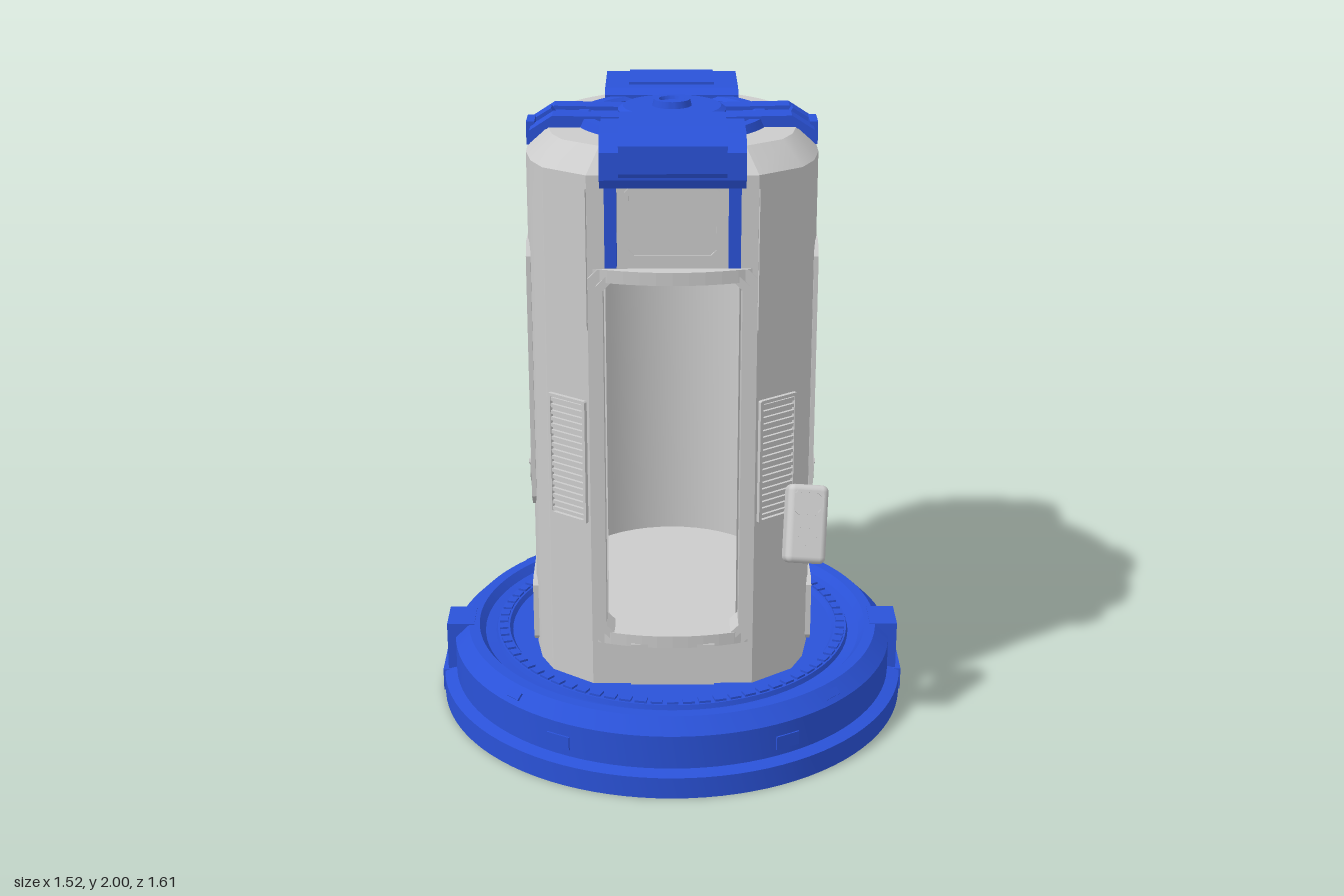
import * as THREE from 'three';
import { toCreasedNormals } from 'three/addons/utils/BufferGeometryUtils.js';
import { RoundedBoxGeometry } from 'three/addons/geometries/RoundedBoxGeometry.js';

const grey = new THREE.MeshStandardMaterial({ color: 0xcccccc, side: THREE.DoubleSide });
const blue = new THREE.MeshStandardMaterial({ color: 0x2a52d8, side: THREE.DoubleSide });
const CZ = 0.05; // centre of the base and roof hub

export function createModel() {
  const root = new THREE.Group();

  const add = (name, geo, mat, x = 0, y = 0, z = 0, yaw = 0, parent = root) => {
    const m = new THREE.Mesh(geo, mat);
    m.name = name;
    m.position.set(x, y, z);
    m.rotation.y = yaw;
    parent.add(m);
    return m;
  };
  const box = (name, mat, w, h, d, x, y, z, yaw = 0, parent = root) =>
    add(name, new THREE.BoxGeometry(w, h, d), mat, x, y, z, yaw, parent);
  const cyl = (name, mat, r, h, x, y, z, r2 = r) =>
    add(name, toCreasedNormals(new THREE.CylinderGeometry(r2, r, h, 40), 0.6), mat, x, y, z);
  const lathe = (pts, seg = 72, start = 0, len = Math.PI * 2) =>
    toCreasedNormals(new THREE.LatheGeometry(pts.map(p => new THREE.Vector2(...p)), seg, start, len), 0.35);
  const shapeOf = pts => new THREE.Shape(pts.map(p => new THREE.Vector2(...p)));
  const extrude = (shape, depth) => new THREE.ExtrudeGeometry(shape, { depth, bevelEnabled: false, curveSegments: 10 });
  // (z, y) profile extruded across x
  const across = (name, mat, pts, width, x = 0) =>
    add(name, extrude(shapeOf(pts), width).translate(0, 0, -width / 2).rotateY(-Math.PI / 2), mat, x);
  // rectangle with cut corners
  const cutRect = (w, h, c) => {
    const a = w / 2, b = h / 2;
    return [[-a + c, -b], [a - c, -b], [a, -b + c], [a, b - c], [a - c, b], [-a + c, b], [-a, b - c], [-a, -b + c]];
  };
  const frameShape = (w, h, c, t) => {
    const s = shapeOf(cutRect(w, h, c));
    s.holes.push(new THREE.Path(cutRect(w - 2 * t, h - 2 * t, c * 0.8).map(p => new THREE.Vector2(...p))));
    return s;
  };
  const both = fn => [1, -1].forEach(fn);

  // Base: stepped hollow disc
  add('base', lathe([[0.76, 0], [0.76, 0.07], [0.72, 0.08], [0.72, 0.19], [0.675, 0.235], [0.64, 0.235],
    [0.62, 0.21], [0.585, 0.205], [0.58, 0.22], [0.54, 0.22], [0.53, 0.205], [0, 0.205]], 96), blue, 0, 0, CZ);
  for (let i = 0; i < 72; i++) {
    const a = i / 72 * Math.PI * 2;
    box('baseTick', blue, 0.036, 0.012, 0.028, 0.56 * Math.sin(a), 0.221, CZ + 0.56 * Math.cos(a), a);
  }
  both(s => {
    box('baseClamp', blue, 0.09, 0.225, 0.13, s * 0.7, 0.125, CZ);
    box('baseClampFoot', blue, 0.05, 0.075, 0.15, s * 0.737, 0.0375, CZ);
    both(f => {
      const a = Math.PI / 4;
      const slot = box('rimSlot', blue, 0.06, 0.008, 0.025, s * 0.7 * Math.sin(a), 0.213, CZ + f * 0.7 * Math.cos(a));
      slot.rotation.set(0.78, Math.atan2(s, f), 0, 'YXZ');
      box('baseSideSlot', blue, 0.08, 0.045, 0.012, s * 0.351, 0.125, CZ + f * 0.627, Math.atan2(s * 0.351, f * 0.627));
    });
  });

  // Cabin outline (x, z): faceted front, round back
  const half = [[0.25, 0.46], [0.38, 0.365], [0.42, 0.28], [0.44, 0.17]];
  for (const a of [0, 0.16, 0.31, 0.472, 0.59, 0.71, 0.831, 0.95, 1.07, 1.2, 1.32, 1.45]) {
    half.push([0.44 * Math.cos(a), -0.44 * Math.sin(a)]);
  }
  const outline = [...half, [0, -0.44], ...half.slice().reverse().map(([x, z]) => [-x, z])];
  const n = outline.length;
  // Rings are [y, scale]; skip leaves openings
  const loft = (rings, skip) => {
    const pos = [], idx = [];
    for (const [y, k] of rings) for (const [x, z] of outline) pos.push(x * k, y, z * k);
    for (let r = 0; r < rings.length - 1; r++) for (let i = 0; i < n; i++) {
      if (skip(r, i)) continue;
      const j = (i + 1) % n, a = r * n + i, b = r * n + j;
      idx.push(a, b, b + n, a, b + n, a + n);
    }
    const g = new THREE.BufferGeometry();
    g.setAttribute('position', new THREE.Float32BufferAttribute(pos, 3));
    g.setIndex(idx);
    return toCreasedNormals(g, 0.38);
  };
  const cap = k => new THREE.ShapeGeometry(shapeOf(outline.map(([x, z]) => [x * k, -z * k]))).rotateX(-Math.PI / 2);
  const niche = i => (i >= 7 && i <= 9) || (n - 2 - i >= 7 && n - 2 - i <= 9);
  add('cabinWall', loft([[0.2, 1], [1.41, 1], [1.72, 1], [1.85, 1], [1.92, 0.85]],
    (r, i) => (i === n - 1 && r < 3) || (r === 1 && niche(i))), grey);
  add('cabinRoof', cap(0.85), grey, 0, 1.92);
  add('innerWall', loft([[0.37, 0.8], [1.56, 0.8]], (r, i) => i === n - 1), grey);
  add('innerFloor', cap(0.82), grey, 0, 0.38);
  add('innerCeiling', cap(0.82), grey, 0, 1.55);

  // Front wall and doorway
  const front = shapeOf([[-0.25, 0.2], [0.25, 0.2], [0.25, 1.85], [-0.25, 1.85]]);
  front.holes.push(new THREE.Path(cutRect(0.41, 1.15, 0.025).map(([x, y]) => new THREE.Vector2(x, y + 0.96))));
  add('frontWall', extrude(front, 0.09), grey, 0, 0, 0.37);
  add('doorFrame', extrude(frameShape(0.5, 1.22, 0.03, 0.025), 0.01), grey, 0, 0.96, 0.457);
  add('doorFrameInner', extrude(frameShape(0.45, 1.18, 0.03, 0.02), 0.016), grey, 0, 0.96, 0.457);
  const lip = new THREE.Shape();
  lip.moveTo(-0.24, 0);
  lip.quadraticCurveTo(0, -0.09, 0.24, 0);
  lip.closePath();
  for (const y of [0.35, 1.53]) add('doorLip', extrude(lip, 0.04).rotateX(-Math.PI / 2), grey, 0, y, 0.458);
  box('stepPanel', grey, 0.26, 0.14, 0.05, 0, 0.29, 0.473);
  add('headerPanel', extrude(frameShape(0.28, 0.22, 0.02, 0.012), 0.008), grey, 0, 1.71, 0.458);

  const facetYaw = Math.atan2(0.095, 0.13);
  both(s => {
    // Vents and trim on the front facets
    const vent = new THREE.Group();
    vent.name = 'vent';
    vent.position.set(s * 0.315, 0.955, 0.4125);
    vent.rotation.y = s * facetYaw;
    root.add(vent);
    add('ventFrame', extrude(frameShape(0.142, 0.4, 0.004, 0.01), 0.012), grey, 0, 0, 0, 0, vent);
    for (let i = 0; i < 18; i++) box('ventSlat', grey, 0.125, 0.011, 0.012, 0, -0.18 + i * 0.0212, 0.003, 0, vent);
    const trim = shapeOf([[-0.08, 1.38], [0.03, 1.49], [0.03, 1.76], [-0.08, 1.81]].map(([x, y]) => [s * x, y]));
    add('facetPanel', extrude(trim, 0.005), grey, s * 0.315, 0, 0.4125, s * facetYaw);

    // Side panel, round lock and lower hatch
    const yaw = s * Math.PI / 2;
    add('sidePanel', extrude(shapeOf(cutRect(0.305, 0.87, 0.04)), 0.014), grey, s * 0.43, 1.145, 0.083, yaw);
    cyl('sideLock', grey, 0.06, 0.025, s * 0.441, 0.805, 0.085).rotation.z = Math.PI / 2;
    box('lockSlot', grey, 0.008, 0.014, 0.095, s * 0.454, 0.805, 0.085).rotation.x = -0.5;
    add('hatch', extrude(shapeOf(cutRect(0.26, 0.22, 0.02)), 0.02), grey, s * 0.43, 0.335, 0.08, yaw);
    box('hatchHandle', grey, 0.012, 0.07, 0.015, s * 0.452, 0.335, 0);

    // Rear niche holding a canister
    const ny = 2.22, nx = Math.sin(ny), nz = Math.cos(ny);
    const at = r => [s * nx * r, 1.565, nz * r];
    add('nicheFrame', extrude(frameShape(0.164, 0.318, 0.001, 0.006), 0.08), grey, ...at(0.353), s * ny);
    box('nicheBack', grey, 0.16, 0.31, 0.008, ...at(0.355), s * ny);
    add('canister', lathe([[0, -0.15], [0.03, -0.15], [0.03, -0.1], [0.045, -0.06], [0.045, 0.05], [0.03, 0.1],
      [0.038, 0.11], [0.038, 0.15], [0, 0.15]], 20), grey, ...at(0.405));

    // Straps tying the rear pack to the cabin
    for (const y of [0.7, 0.865]) {
      const a = Math.PI / 2 + 0.55;
      add('strap', lathe([[0.43, y - 0.04], [0.462, y - 0.04], [0.462, y + 0.04], [0.43, y + 0.04], [0.43, y - 0.04]],
        14, s > 0 ? a : -a - 0.62, 0.62), blue);
    }
    box('strapBuckle', blue, 0.07, 0.29, 0.05, s * 0.28, 0.785, -0.36, Math.atan2(s * 0.28, -0.36));
  });

  // Roof ring, hub and cross arms
  add('roofRing', lathe([[0.24, 1.91], [0.24, 1.935], [0.255, 1.945], [0.285, 1.945], [0.3, 1.91]], 64), blue, 0, 0, CZ);
  add('hub', lathe([[0.165, 1.91], [0.165, 1.955], [0.15, 1.965], [0.06, 1.965], [0.055, 1.985], [0.04, 1.985],
    [0.035, 1.975], [0, 1.975]], 48), blue, 0, 0, CZ);
  box('roofBeam', blue, 0.13, 0.035, 0.52, 0, 1.93, 0.06);
  const arm = [[0.1, 1.915], [0.1, 1.95], [0.36, 1.955], [0.43, 1.91], [0.425, 1.875], [0.38, 1.915]];
  both(s => {
    const g = w => extrude(shapeOf(arm.map(([x, y]) => [s * x, y])), w).translate(0, 0, CZ - w / 2);
    both(f => add('armRail', g(0.07), blue, 0, 0, f * 0.07));
    add('armChannel', g(0.08), blue, 0, -0.012, 0);
    box('armBlock', blue, 0.055, 0.02, 0.05, s * 0.385, 1.938, CZ).rotation.z = -s * 0.55;
    box('armTab', blue, 0.025, 0.07, 0.1, s * 0.43, 1.89, CZ);
  });

  // Front hood with hanging rails
  const hood = [[0.53, 1.845], [0.54, 1.87], [0.54, 1.95], [0.485, 1.995], [0.3, 1.995], [0.265, 1.96], [0.265, 1.91],
    [0.4, 1.91], [0.45, 1.84]];
  across('hood', blue, hood.map(([z, y]) => [z, y - 0.015]), 0.42);
  across('hoodCover', blue, hood.map(([z, y]) => [z + (z > 0.5 ? 0.005 : 0), y + 0.005]), 0.31);
  both(s => box('hoodRail', blue, 0.035, 0.3, 0.05, s * 0.18, 1.735, 0.483));

  // Rear head unit
  across('rearHead', blue, [[-0.16, 1.92], [-0.16, 1.95], [-0.2, 1.965], [-0.46, 1.965], [-0.58, 1.83], [-0.58, 1.53],
    [-0.555, 1.43], [-0.41, 1.45], [-0.39, 1.48], [-0.39, 1.85], [-0.33, 1.92]], 0.42);
  add('rearHeadPanel', extrude(frameShape(0.29, 0.3, 0.03, 0.025), 0.014), blue, 0, 1.67, -0.578, Math.PI);
  add('rearHeadScreen', extrude(shapeOf(cutRect(0.2, 0.21, 0.015)), 0.01), blue, 0, 1.67, -0.578, Math.PI);
  box('headTopPanel', blue, 0.27, 0.016, 0.2, 0, 1.964, -0.35);
  both(s => cyl('pipe', blue, 0.04, 0.26, s * 0.06, 1.36, -0.505));

  // Rear pack
  across('pack', blue, [[-0.4, 0], [-0.4, 0.96], [-0.7, 0.96], [-0.71, 0.9], [-0.71, 0]], 0.38);
  across('packCap', blue, [[-0.405, 0.97], [-0.405, 1.28], [-0.6, 1.28], [-0.72, 0.94], [-0.68, 0.95]], 0.4);
  const slope = Math.atan2(0.12, 0.34);
  both(s => {
    across('capEdge', blue, [[-0.59, 1.29], [-0.615, 1.285], [-0.735, 0.935], [-0.7, 0.94]], 0.03, s * 0.19);
    for (let i = 0; i < 13; i++) {
      const t = 0.12 + i * 0.063;
      box('capSlat', blue, 0.13, 0.011, 0.014, s * 0.09, 1.28 - 0.34 * t, -0.602 - 0.12 * t).rotation.x = slope;
    }
    across('packFlange', blue, [[-0.69, 0.65], [-0.71, 0.64], [-0.755, 0.56], [-0.755, 0], [-0.69, 0]], 0.04, s * 0.17);
    box('packSidePanel', blue, 0.012, 0.5, 0.17, s * 0.19, 0.56, -0.56);
    across('packRib', blue, [[-0.69, 0.6], [-0.74, 0.53], [-0.74, 0.02], [-0.69, 0.02]], 0.04, s * 0.1);
  });
  box('packUpperPanel', blue, 0.3, 0.12, 0.02, 0, 0.85, -0.712);
  box('packMiddlePanel', blue, 0.24, 0.08, 0.02, 0, 0.71, -0.712);
  box('packCentre', blue, 0.11, 0.4, 0.02, 0, 0.38, -0.715);
  across('packFoot', blue, [[-0.69, 0], [-0.69, 0.19], [-0.755, 0.16], [-0.8, 0.08], [-0.8, 0]], 0.1);

  // Control handset on a bent stem
  const handset = new THREE.Group();
  handset.name = 'handset';
  handset.position.set(0.405, 0.76, 0.475);
  handset.rotation.set(-0.42, 0.15, -0.12, 'YXZ');
  root.add(handset);
  add('handsetBody', new RoundedBoxGeometry(0.125, 0.24, 0.085, 3, 0.02), grey, 0, 0, 0, 0, handset);
  add('handsetScreen', extrude(frameShape(0.09, 0.075, 0.012, 0.008), 0.008), grey, 0, 0.065, 0.04, 0, handset);
  for (let r = 0; r < 4; r++) for (let c = -1; c <= 1; c++) {
    box('handsetButton', grey, 0.02, 0.016, 0.012, c * 0.03, -0.005 - r * 0.026, 0.042, 0, handset);
  }
  const tube = (name, pts, r) => add(name, new THREE.TubeGeometry(
    new THREE.CatmullRomCurve3(pts.map(p => new THREE.Vector3(...p))), 14, r, 8), grey);
  tube('handsetStem', [[0.415, 0.735, 0.43], [0.43, 0.7, 0.38], [0.435, 0.67, 0.32], [0.415, 0.665, 0.28]], 0.02);
  box('stemBracket', grey, 0.03, 0.07, 0.045, 0.425, 0.65, 0.305, 1.2);
  for (let i = 0; i < 3; i++) {
    tube('wire', [[0.425, 0.64, 0.31], [0.435, 0.6, 0.3 + i * 0.012], [0.425, 0.555 + i * 0.015, 0.29 + i * 0.022]], 0.004);
  }
  return root;
}
